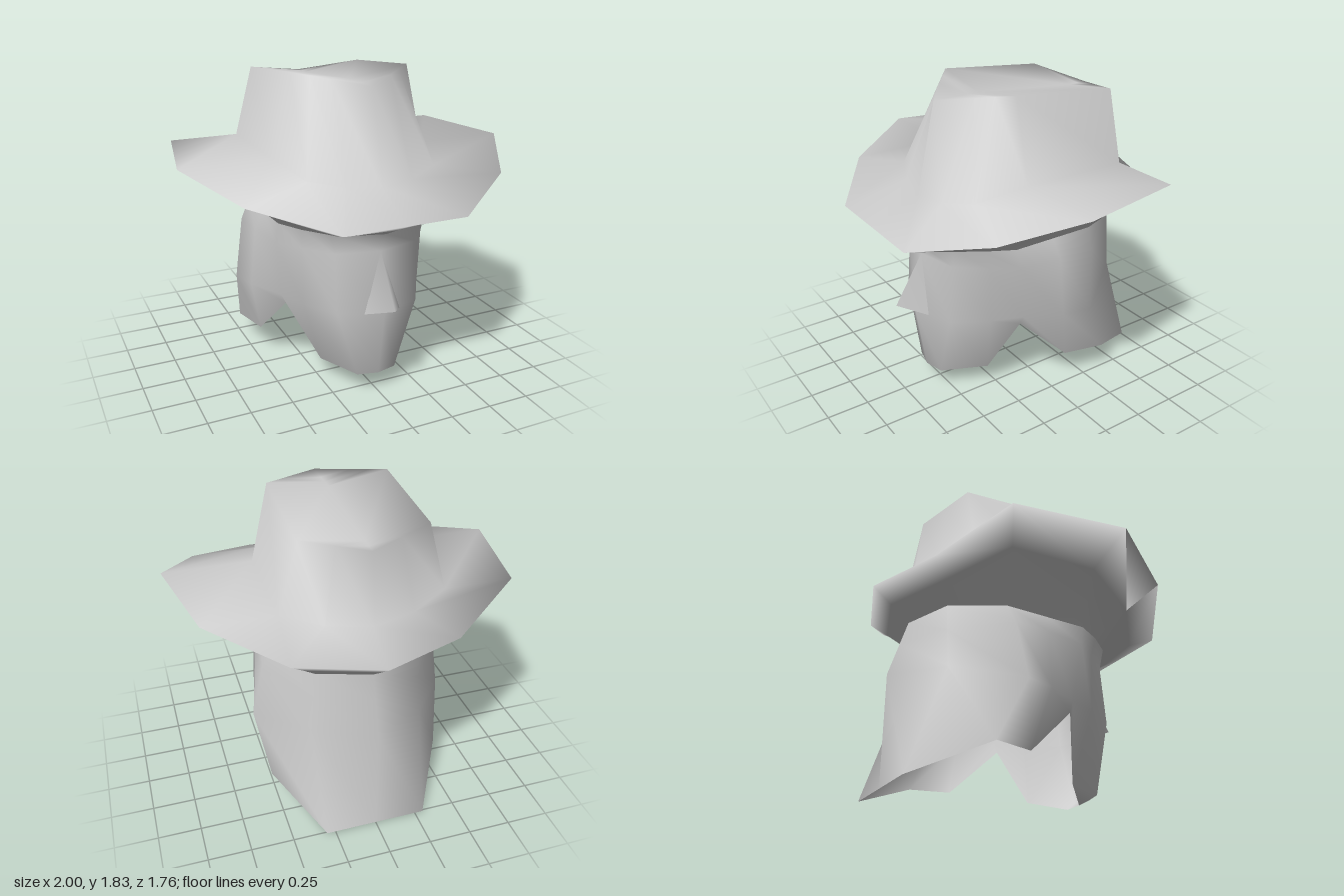
import * as THREE from 'three';
import { mergeVertices } from 'three/addons/utils/BufferGeometryUtils.js';

const grey = new THREE.MeshStandardMaterial({ color: 0xcccccc, side: THREE.DoubleSide });
grey.name = 'light grey';

// Complete a half loop (front to back at +x) with its mirror image
const mirrorX = ([x, y, z]) => [-x, y, z];
const loop = half => half.concat(half.filter(p => p[0] > 0).reverse().map(mirrorX));

// Triangle corners between cross-sections of equal length
function skin(rows, closed = true) {
  const n = rows[0].length, corners = [];
  for (let i = 0; i < rows.length - 1; i++) {
    for (let j = 0; j < (closed ? n : n - 1); j++) {
      const k = (j + 1) % n, low = rows[i], high = rows[i + 1];
      corners.push(low[j], low[k], high[j], low[k], high[k], high[j]);
    }
  }
  return corners;
}

// Join triangle corners into one smoothly shaded mesh
function smoothMesh(name, corners) {
  const raw = new THREE.BufferGeometry();
  raw.setAttribute('position', new THREE.Float32BufferAttribute(corners.flat(), 3));
  const geometry = mergeVertices(raw);
  geometry.computeVertexNormals();
  const mesh = new THREE.Mesh(geometry, grey);
  mesh.name = name;
  return mesh;
}

function createHat() {
  const band = [[0, 1, .65], [.28, 1, .54], [.39, 1, .4], [.47, 1, .25],
    [.47, 1, -.26], [.3, 1, -.55], [0, 1, -.65]];
  // Hollow of the brim underside
  const hollow = [[0, 1.06, .765], [.32, 1.06, .72], [.58, 1.13, .5], [.72, 1.235, .16],
    [.69, 1.23, -.36], [.38, 1.09, -.63], [0, 1.09, -.765]];
  const edge = [[0, 1.12, .88], [.36, 1.12, .88], [.77, 1.235, .59], [1, 1.355, .18],
    [.88, 1.355, -.47], [.47, 1.18, -.71], [0, 1.18, -.88]];
  const base = [[0, 1.25, .59], [.2, 1.26, .56], [.39, 1.295, .47], [.47, 1.355, .18],
    [.47, 1.355, -.47], [.25, 1.31, -.58], [0, 1.295, -.64]];
  const top = [[0, 1.765, .47], [.18, 1.795, .325], [.27, 1.81, .25], [.36, 1.825, .18],
    [.36, 1.765, -.47], [.18, 1.737, -.53], [0, 1.71, -.59]];
  // The crease runs down the middle of the crown
  const crease = [top[0], [0, 1.765, .325], [0, 1.765, .25], [0, 1.765, .18],
    [0, 1.71, -.47], [0, 1.71, -.53], top[6]];

  return smoothMesh('hat', [
    ...skin([band, hollow, edge, base, top].map(loop)),
    ...skin([top, crease, top.map(mirrorX)], false),
  ]);
}

function createHead() {
  // Open shell, listed from the bottom hem up to the hat
  const hem = [[0, .12, .59], [.12, .12, .56], [.24, .12, .3], [.41, .47, .18],
    [.47, .18, -.12], [.53, .18, -.36], [.3, 0, -.76], [0, 0, -.76]];
  const cheek = [[0, .53, .65], [.25, .53, .56], [.37, .53, .36], [.44, .53, .18],
    [.55, .53, -.03], [.59, .53, -.2], [.33, .62, -.55], [0, .65, -.76]];
  const brow = [[0, .88, .59], [.25, .88, .53], [.38, .88, .37], [.48, .88, .23],
    [.52, .88, -.02], [.53, .88, -.24], [.31, .85, -.55], [0, .85, -.697]];
  const rim = [[0, 1, .65], [.28, 1, .54], [.39, 1, .4], [.47, 1, .25],
    [.47, 1, 0], [.47, 1, -.26], [.3, 1, -.55], [0, 1, -.65]];

  // Underside of the chin, left open behind
  const chin = [hem[0], hem[1], hem[2], [.06, .06, .47],
    [-.06, .06, .47], mirrorX(hem[2]), mirrorX(hem[1])];
  const chinFaces = [1, 3, 2, 0, 3, 1, 0, 4, 3, 0, 6, 4, 6, 5, 4];

  // Pointed nose between the brow and the cheeks
  const nose = [brow[0], [0, .59, .77], [.11, .53, .62], [-.11, .53, .62], cheek[0]];
  const noseFaces = [0, 1, 2, 0, 3, 1, 1, 4, 2, 1, 3, 4];

  return smoothMesh('head', [
    ...skin([hem, cheek, brow, rim].map(loop)),
    ...chinFaces.map(i => chin[i]),
    ...noseFaces.map(i => nose[i]),
  ]);
}

export function createModel() {
  const model = new THREE.Group();
  model.name = 'hattedHead';
  model.add(createHat(), createHead());
  return model;
}
